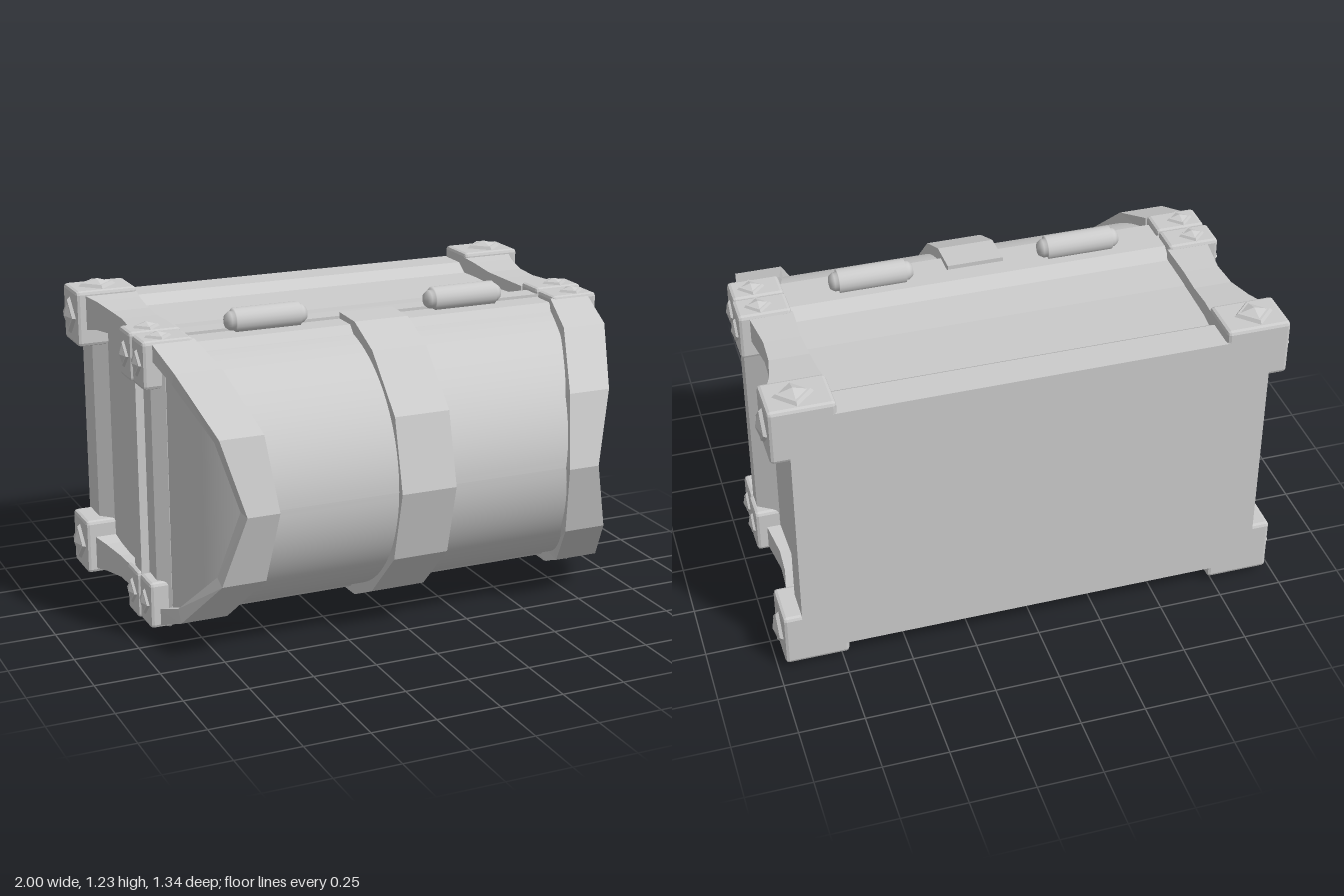
import * as THREE from 'three';
import { RoundedBoxGeometry } from 'three/addons/geometries/RoundedBoxGeometry.js';

const flat = new THREE.MeshStandardMaterial({ color: 0xcccccc, flatShading: true });
const smooth = new THREE.MeshStandardMaterial({ color: 0xcccccc });

// Skin a row of four-cornered sections, with both ends capped
function loft(sections) {
  const pos = [];
  const quad = (a, b, c, d) => pos.push(...a, ...b, ...c, ...a, ...c, ...d);
  for (let s = 0; s + 1 < sections.length; s++) {
    const a = sections[s], b = sections[s + 1];
    for (let i = 0; i < 4; i++) quad(a[i], a[(i + 1) % 4], b[(i + 1) % 4], b[i]);
  }
  const first = sections[0], last = sections[sections.length - 1];
  quad(first[0], first[3], first[2], first[1]);
  quad(...last);
  const g = new THREE.BufferGeometry();
  g.setAttribute('position', new THREE.Float32BufferAttribute(pos, 3));
  g.computeVertexNormals();
  return g;
}

// Rectangular section across z
function rect(xa, xb, ya, yb, z) {
  const x0 = Math.min(xa, xb), x1 = Math.max(xa, xb);
  const y0 = Math.min(ya, yb), y1 = Math.max(ya, yb);
  return [[x0, y0, z], [x1, y0, z], [x1, y1, z], [x0, y1, z]];
}

// Arch over the lid; rows: outer z, outer y, inner z, inner y, x far, x near
function arch(rows, side) {
  const full = [
    ...rows.map(r => [...r, 1]),
    ...rows.slice(0, -1).reverse().map(r => [...r, -1]),
  ];
  return loft(full.map(([zo, yo, zi, yi, far, near, s]) => {
    const x0 = Math.min(side * far, side * near), x1 = Math.max(side * far, side * near);
    return [[x0, s * yi, zi], [x1, s * yi, zi], [x1, s * yo, zo], [x0, s * yo, zo]];
  }));
}

export function createModel() {
  const model = new THREE.Group();
  model.name = 'chest';
  const chest = new THREE.Group();
  chest.name = 'chestParts';
  chest.position.y = 0.612;
  model.add(chest);

  const add = (name, geometry, material = flat, parent = chest) => {
    const m = new THREE.Mesh(geometry, material);
    m.name = name;
    parent.add(m);
    return m;
  };

  // Body with raised base trim, recessed panels and raised rim
  add('body', loft([
    [-0.67, 0.9, 0.54], [-0.54, 0.9, 0.54], [-0.49, 0.85, 0.505], [-0.2, 0.845, 0.495],
    [-0.03, 0.85, 0.505], [0.02, 0.93, 0.54], [0.098, 0.93, 0.54],
  ].map(([z, x, y]) => rect(-x, x, -y, y, z))));

  add('lidRim', loft([
    [0.102, 0.9, 0.53], [0.2, 0.905, 0.53], [0.24, 0.86, 0.49],
  ].map(([z, x, y]) => rect(-x, x, -y, y, z))));

  // Barrel of the lid: rounded in height, tapering in width
  const barrel = new THREE.BoxGeometry(2, 2, 1, 1, 1, 28);
  const p = barrel.attributes.position;
  for (let i = 0; i < p.count; i++) {
    const t = (p.getZ(i) + 0.5) * Math.PI / 2;
    const z = 0.1 + 0.54 * Math.sin(t);
    const taper = Math.max(0, (z - 0.2) / 0.44);
    p.setXYZ(i, p.getX(i) * (0.86 - 0.19 * taper * taper), p.getY(i) * 0.515 * Math.cos(t), z);
  }
  barrel.computeVertexNormals();
  add('lidBarrel', barrel, smooth);

  // Metal arches at the lid ends and across its middle
  for (const side of [-1, 1]) {
    add('lidEndArch', arch([
      [0.22, 0.55, 0.22, 0.485, 0.905, 0.74], [0.4, 0.478, 0.37, 0.43, 0.88, 0.7],
      [0.6, 0.277, 0.55, 0.255, 0.79, 0.62], [0.67, 0, 0.6, 0, 0.715, 0.59],
    ], side));
  }
  add('lidCentreBand', arch([
    [0.1, 0.555, 0.1, 0.45, 0.11, -0.11], [0.24, 0.55, 0.22, 0.45, 0.11, -0.11],
    [0.4, 0.478, 0.36, 0.41, 0.11, -0.11], [0.6, 0.277, 0.53, 0.24, 0.11, -0.11],
    [0.67, 0, 0.58, 0, 0.11, -0.11],
  ], 1));

  // Diamond stud: low plate under a pyramid, pointing along +y
  function stud(parent, r, height) {
    const g = new THREE.Group();
    g.name = 'stud';
    const plate = add('studPlate', new THREE.CylinderGeometry(r * 0.85, r, height * 0.45, 4), flat, g);
    plate.position.y = height * 0.225;
    const point = add('studPoint', new THREE.ConeGeometry(r * 0.7, height * 0.55, 4), flat, g);
    point.position.y = height * 0.725;
    parent.add(g);
    return g;
  }

  // Corner blocks: z centre, depth, x range, y range, stud size, stud height
  const blocks = [
    ['baseCorner', -0.577, 0.186, 0.725, 0.972, 0.365, 0.587, 0.075, 0.028],
    ['rimCorner', 0.035, 0.128, 0.745, 0.948, 0.375, 0.562, 0.052, 0.02],
    ['lidCorner', 0.167, 0.128, 0.745, 0.942, 0.375, 0.557, 0.052, 0.02],
  ];
  for (const sx of [-1, 1]) for (const sy of [-1, 1]) {
    for (const [name, z, depth, x0, x1, y0, y1, r, h] of blocks) {
      const corner = new THREE.Group();
      corner.name = name;
      chest.add(corner);
      const block = add(name + 'Block',
        new RoundedBoxGeometry(x1 - x0, y1 - y0, depth, 1, 0.014), flat, corner);
      block.position.set(sx * (x0 + x1) / 2, sy * (y0 + y1) / 2, z);
      const sideStud = stud(corner, r, h);
      sideStud.position.set(sx * x1, sy * (y0 + y1) / 2, z);
      sideStud.rotation.z = -sx * Math.PI / 2;
      const outerStud = stud(corner, r, h);
      outerStud.position.set(sx * 0.86, sy * y1, z);
      outerStud.rotation.z = sy > 0 ? 0 : Math.PI;
    }
    // Waisted strut joining base and rim corners
    add('cornerStrut', loft([
      [-0.5, 0.94, 0.57, 0.725, 0.43], [-0.42, 0.912, 0.56, 0.735, 0.445],
      [-0.3, 0.89, 0.546, 0.74, 0.455], [-0.18, 0.885, 0.544, 0.745, 0.455],
      [-0.02, 0.905, 0.548, 0.74, 0.45],
    ].map(([z, x, y, xi, yi]) => rect(sx * xi, sx * x, sy * yi, sy * y, z))));
  }

  // Hinge barrels with stepped-in round ends
  const hingeProfile = [
    [0, -0.165], [0.025, -0.16], [0.036, -0.145], [0.038, -0.13], [0.048, -0.13], [0.048, 0.13],
    [0.038, 0.13], [0.036, 0.145], [0.025, 0.16], [0, 0.165],
  ].map(([r, y]) => new THREE.Vector2(r, y));
  for (const side of [-1, 1]) {
    const hinge = add('hinge', new THREE.LatheGeometry(hingeProfile, 20), smooth);
    hinge.rotation.z = Math.PI / 2;
    hinge.position.set(side * 0.412, 0.567, 0.1);
  }

  // Lock on the underside: raised frame around a plate with a keyhole
  const outline = (k, C) => {
    const pts = [[-0.11, 0.13], [0.11, 0.13], [0.13, -0.03], [0.06, -0.14], [-0.06, -0.14], [-0.13, -0.03]];
    return new C(pts.map(([x, y]) => new THREE.Vector2(x * k, y * k)));
  };
  const lock = new THREE.Group();
  lock.name = 'lock';
  lock.position.set(0, -0.49, -0.07);
  lock.rotation.x = 0.08;
  chest.add(lock);
  const frameShape = outline(1, THREE.Shape);
  frameShape.holes.push(outline(0.72, THREE.Path));
  const plateShape = outline(0.76, THREE.Shape);
  const keyhole = new THREE.Path();
  keyhole.absarc(0, 0.025, 0.026, -0.25 * Math.PI, 1.25 * Math.PI, false);
  keyhole.lineTo(-0.024, -0.06);
  keyhole.lineTo(0.024, -0.06);
  keyhole.closePath();
  plateShape.holes.push(keyhole);
  const bevel = { bevelEnabled: true, bevelThickness: 0.01, bevelSize: 0.01, bevelSegments: 1 };
  for (const [name, shape, options] of [
    ['lockFrame', frameShape, { depth: 0.07, ...bevel }],
    ['lockPlate', plateShape, { depth: 0.066, bevelEnabled: false }],
  ]) {
    const g = new THREE.ExtrudeGeometry(shape, { ...options, curveSegments: 10 });
    g.rotateX(Math.PI / 2);
    add(name, g, flat, lock);
  }

  return model;
}
